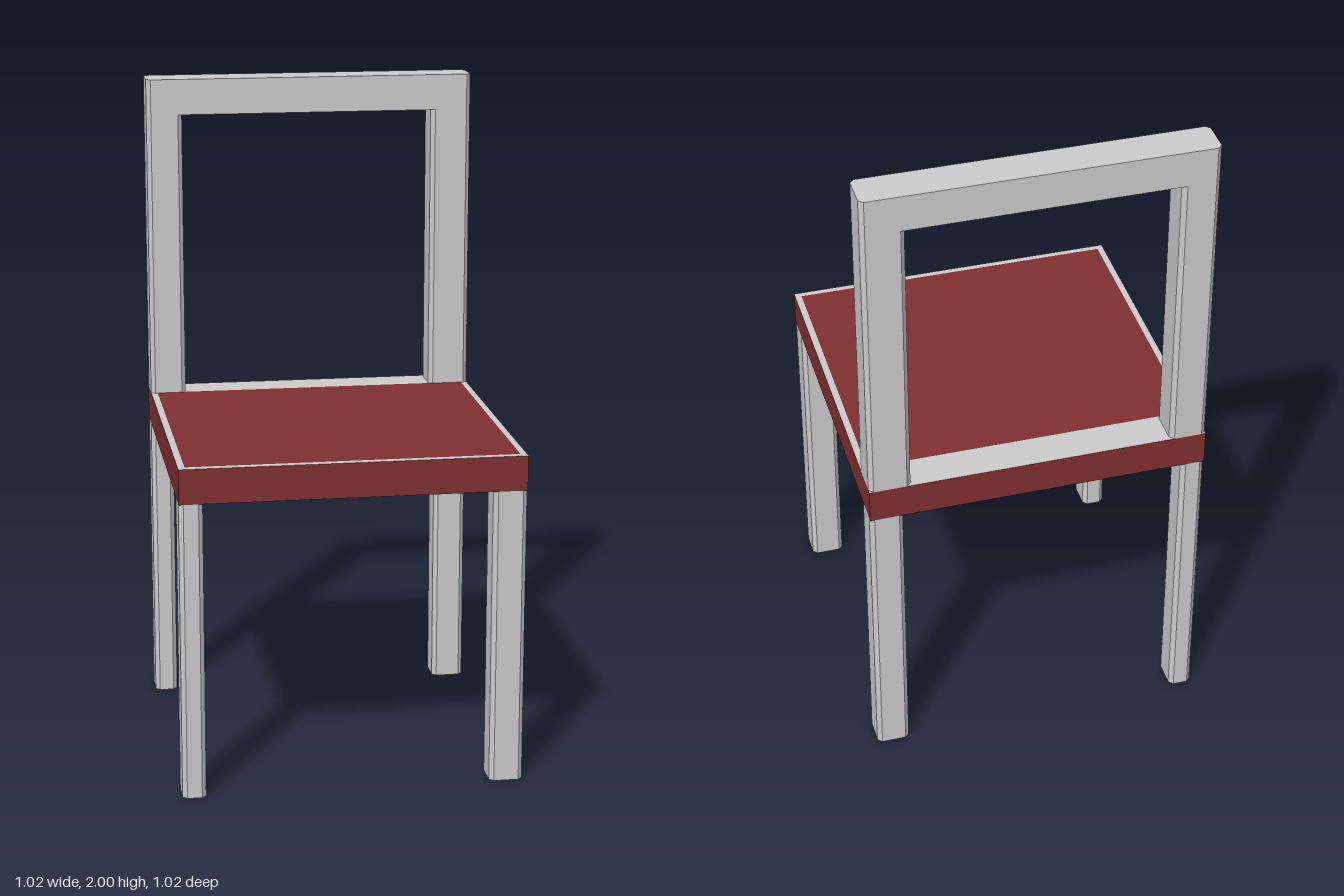
import * as THREE from 'three';

const grey = new THREE.MeshStandardMaterial({ color: 0xcccccc, flatShading: true });
const red = new THREE.MeshStandardMaterial({ color: 0x803030, flatShading: true });

const HALF = 0.51, SEAT_LOW = 0.9, SEAT_TOP = 1.005;
const BEVEL = 0.013;

// Upright bar with its four vertical edges chamfered
function post(name, x0, x1, z0, z1, y0, y1) {
  const c = BEVEL;
  const outline = [
    [x0 + c, z0], [x1 - c, z0], [x1, z0 + c], [x1, z1 - c],
    [x1 - c, z1], [x0 + c, z1], [x0, z1 - c], [x0, z0 + c],
  ].map(([x, z]) => new THREE.Vector2(x, -z));
  const geometry = new THREE.ExtrudeGeometry(new THREE.Shape(outline), { depth: y1 - y0, bevelEnabled: false });
  geometry.rotateX(-Math.PI / 2).translate(0, y0, 0);
  const mesh = new THREE.Mesh(geometry, grey);
  mesh.name = name;
  return mesh;
}

// Flat coloured inset on the top (up = 1) or underside (up = -1) of the seat
function panel(name, x0, x1, z0, z1, y, up) {
  const geometry = new THREE.PlaneGeometry(x1 - x0, z1 - z0).rotateX(-up * Math.PI / 2);
  const mesh = new THREE.Mesh(geometry, red);
  mesh.position.set((x0 + x1) / 2, y + up * 0.001, (z0 + z1) / 2);
  mesh.name = name;
  return mesh;
}

export function createModel() {
  const chair = new THREE.Group();
  chair.name = 'chair';

  // Seat slab: red sides, grey top and bottom borders
  const slab = new THREE.Mesh(
    new THREE.BoxGeometry(2 * HALF, SEAT_TOP - SEAT_LOW, 2 * HALF),
    [red, red, grey, grey, red, red]
  );
  slab.position.y = (SEAT_LOW + SEAT_TOP) / 2;
  slab.name = 'seatSlab';
  const seat = new THREE.Group();
  seat.name = 'seat';
  seat.add(
    slab,
    panel('seatTopPanel', -0.49, 0.49, -0.397, 0.49, SEAT_TOP, 1),
    panel('seatUndersidePanel', -0.415, 0.415, -0.405, 0.405, SEAT_LOW, -1)
  );
  chair.add(seat);

  // Legs: the right pair is slimmer than the left pair
  for (const [side, x0, x1] of [['Right', -HALF, -0.44], ['Left', 0.41, HALF]]) {
    chair.add(post(`front${side}Leg`, x0, x1, 0.41, HALF, 0, SEAT_LOW));
    chair.add(post(`back${side}Leg`, x0, x1, -HALF, -0.41, 0, SEAT_LOW));
  }

  // Open backrest: two uprights under a top rail
  const backrest = new THREE.Group();
  backrest.name = 'backrest';
  backrest.add(
    post('backRightUpright', -HALF, -0.4, -HALF, -0.394, SEAT_TOP, 1.89),
    post('backLeftUpright', 0.385, HALF, -HALF, -0.394, SEAT_TOP, 1.89),
    post('topRail', -HALF, HALF, -HALF, -0.394, 1.89, 2)
  );
  chair.add(backrest);

  return chair;
}
